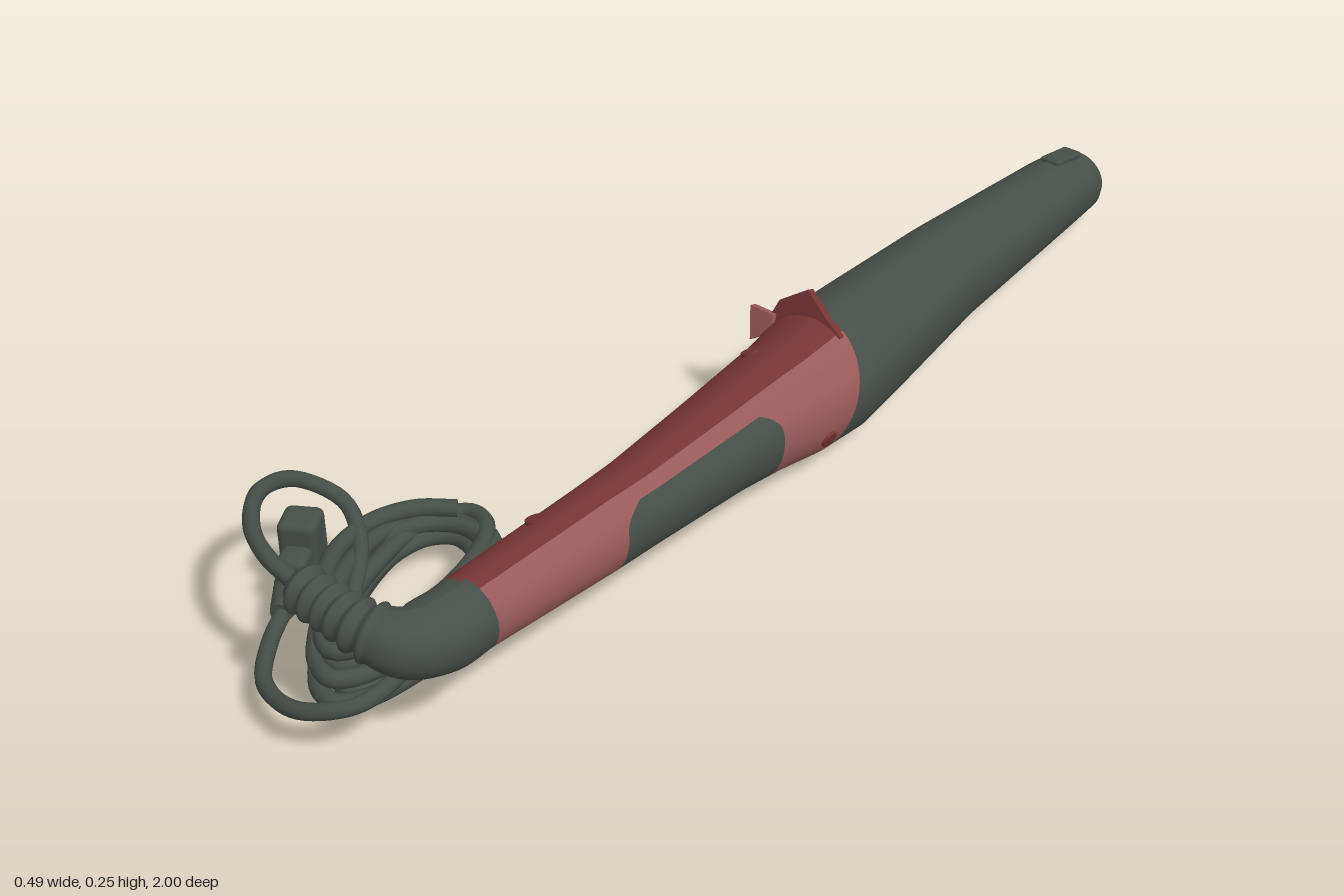
import * as THREE from 'three';
import { mergeVertices } from 'three/addons/utils/BufferGeometryUtils.js';
import { RoundedBoxGeometry } from 'three/addons/geometries/RoundedBoxGeometry.js';

const V = (x, y, z) => new THREE.Vector3(x, y, z);
const RAD = Math.PI / 180;

// body cross-sections: z, centre x, centre y, half width, half height
const SECTIONS = [
  [-1, -0.024, 0.073, 0.055, 0.05], [-0.985, -0.024, 0.073, 0.064, 0.06],
  [-0.9, -0.017, 0.077, 0.07, 0.068], [-0.5, 0.029, 0.096, 0.087, 0.091],
  [-0.25, 0.068, 0.106, 0.105, 0.102], [-0.1, 0.092, 0.113, 0.114, 0.108],
  [0, 0.105, 0.113, 0.1, 0.102], [0.1, 0.115, 0.122, 0.09, 0.09],
  [0.2, 0.127, 0.13, 0.082, 0.08], [0.4, 0.153, 0.143, 0.068, 0.07],
  [0.5, 0.163, 0.149, 0.063, 0.069], [0.78, 0.187, 0.168, 0.056, 0.057],
];

function bodyPoint(deg, z, lift = 0) {
  let i = 0;
  while (i < SECTIONS.length - 2 && z > SECTIONS[i + 1][0]) i++;
  const a = SECTIONS[i], b = SECTIONS[i + 1];
  const t = (z - a[0]) / (b[0] - a[0]);
  const [, cx, cy, rx, ry] = a.map((v, k) => v + (b[k] - v) * t);
  return V(cx + (rx + lift) * Math.cos(deg * RAD), cy + (ry + lift) * Math.sin(deg * RAD), z);
}

// piece of the body skin between two angles and two end curves z(angle)
function patch(a0, a1, zStart, zEnd, lift = 0) {
  const nA = Math.max(4, Math.ceil((a1 - a0) / 6)), nZ = 50, pos = [], idx = [];
  for (let i = 0; i <= nA; i++) {
    const deg = a0 + (a1 - a0) * i / nA, z0 = zStart(deg), z1 = zEnd(deg);
    for (let j = 0; j <= nZ; j++) {
      pos.push(...bodyPoint(deg, z0 + (z1 - z0) * j / nZ, lift).toArray());
      if (i < nA && j < nZ) {
        const k = i * (nZ + 1) + j, m = k + nZ + 1;
        idx.push(k, m, k + 1, m, m + 1, k + 1);
      }
    }
  }
  let g = new THREE.BufferGeometry();
  g.setAttribute('position', new THREE.Float32BufferAttribute(pos, 3));
  g.setIndex(idx);
  g = mergeVertices(g, 1e-5);
  g.computeVertexNormals();
  return g;
}

// tube along points whose radius follows r(t)
function sweep(points, seg, sides, r) {
  const curve = new THREE.CatmullRomCurve3(points);
  const g = new THREE.TubeGeometry(curve, seg, 1, sides);
  const p = g.attributes.position, n = g.attributes.normal;
  for (let i = 0; i <= seg; i++) {
    const c = curve.getPointAt(i / seg);
    for (let j = 0; j <= sides; j++) {
      const k = i * (sides + 1) + j, q = V(0, 0, 0).fromBufferAttribute(n, k);
      q.multiplyScalar(r(i / seg)).add(c);
      p.setXYZ(k, q.x, q.y, q.z);
    }
  }
  g.computeVertexNormals();
  return g;
}

export function createModel() {
  const group = new THREE.Group();
  const mat = (name, color, side = THREE.FrontSide) => {
    const m = new THREE.MeshStandardMaterial({ color, side });
    m.name = name;
    return m;
  };
  const dark = mat('charcoal green', 0x464e48, THREE.DoubleSide);
  const red = mat('deep red', 0x763434, THREE.DoubleSide);
  const rose = mat('dusty rose', 0x985a5a, THREE.DoubleSide);
  const add = (name, geo, m, parent = group) => {
    const mesh = new THREE.Mesh(geo, m);
    mesh.name = name;
    parent.add(mesh);
    return mesh;
  };

  // barrel and handle shells
  const collar = d => -0.05 - 0.045 * Math.sin(d * RAD);
  const corner = d => 0.04 * Math.max(0, (d - 15) / 30) ** 2;
  const gripBack = d => 0.125 + corner(d) - 0.01 * Math.sin(d * RAD);
  const gripFront = d => 0.49 - corner(d) - 0.01 * Math.sin(d * RAD);
  const end = () => 0.775;
  add('barrel', patch(0, 360, () => -1, collar), dark);
  add('topPanel', patch(65, 215, collar, end), red);
  add('sideStrip', patch(45, 65, collar, end), rose);
  add('sideCollar', patch(-50, 45, collar, gripBack), rose);
  add('lowerCollar', patch(-145, -50, collar, gripBack), red);
  add('grip', patch(-145, 45, gripBack, gripFront), dark);
  add('sideFront', patch(-145, 45, gripFront, end), rose);
  add('rocker', patch(18, 36, () => 0.2, () => 0.42, 0.005), dark);

  // recessed barrel tip
  const tip = new THREE.LatheGeometry([[0, 0.03], [0.03, 0.03], [0.035, 0], [0.055, 0]]
    .map(p => new THREE.Vector2(...p)), 32);
  tip.rotateX(Math.PI / 2).scale(1, 0.91, 1).translate(-0.024, 0.073, -1);
  add('tip', tip, dark);
  const ridge = add('tipRidge', new RoundedBoxGeometry(0.04, 0.012, 0.08, 2, 0.005), dark);
  ridge.position.set(-0.02, 0.142, -0.93);
  ridge.rotation.x = -0.1;

  // screws set in the shell
  for (const [deg, z, m] of [[115, 0.05, red], [110, 0.6, red], [-20, 0.01, red]]) {
    const screw = add('screw', new THREE.CylinderGeometry(0.015, 0.015, 0.008, 16), m);
    screw.position.copy(bodyPoint(deg, z));
    screw.quaternion.setFromUnitVectors(V(0, 1, 0), V(Math.cos(deg * RAD), Math.sin(deg * RAD), 0));
  }

  // raised guard between barrel and handle
  const plate = (name, pts, m, z) => {
    const shape = new THREE.Shape(pts.map(p => new THREE.Vector2(...p)));
    const g = new THREE.ExtrudeGeometry(shape, { depth: 0.014, bevelEnabled: false });
    g.translate(0, -0.2, 0).rotateX(-0.3).translate(0, 0.2, z);
    add(name, g, m);
  };
  plate('guard', [[0.0, 0.17], [0.15, 0.17], [0.15, 0.205], [0.12, 0.222], [0.07, 0.257], [0.02, 0.222]], red, -0.085);
  plate('guardWing', [[-0.028, 0.2], [-0.015, 0.145], [0.02, 0.17], [0.02, 0.2]], rose, -0.075);

  // end cap bending into a ribbed strain relief
  add('strainRelief', sweep([V(0.187, 0.168, 0.765), V(0.19, 0.169, 0.82), V(0.175, 0.175, 0.872),
    V(0.125, 0.188, 0.898), V(0.06, 0.198, 0.905), V(0, 0.206, 0.908)], 110, 24, t => {
    if (t > 0.99) return 0.002;
    const base = 0.057 - 0.024 * THREE.MathUtils.smoothstep(t, 0.15, 0.75);
    return base + (t > 0.5 ? 0.005 * Math.sin((t - 0.5) * 2 * Math.PI * 12) : 0);
  }), dark);

  // coiled bundle of cable
  const cable = (name, pts, r = 0.0125) => add(name,
    new THREE.TubeGeometry(new THREE.CatmullRomCurve3(pts), pts.length * 6, r, 10), dark);
  const coil = [], turns = 8, steps = 14;
  for (let i = 0; i <= turns * steps; i++) {
    const k = i / steps, t = k * 2 * Math.PI, c = Math.cos(t);
    const u = (0.2 + 0.025 * Math.sin(2.3 * k)) * c;
    const w = (0.088 + 0.02 * Math.sin(1.7 * k + 1)) * Math.sin(t) * (1 + 0.25 * c);
    const y = 0.016 + (0.085 - 0.03 * c) * k / turns + 0.012 * (1 + Math.sin(t * 0.5 + k));
    coil.push(V(-0.01 - 0.39 * u + 0.92 * w, y, 0.715 - 0.92 * u - 0.39 * w));
  }
  cable('cableCoil', coil, 0.014);

  // free runs of cable
  cable('cableFromHandle', [V(0.01, 0.205, 0.908), V(-0.06, 0.217, 0.905), V(-0.14, 0.214, 0.87),
    V(-0.21, 0.205, 0.8), V(-0.23, 0.175, 0.72), V(-0.19, 0.13, 0.67), V(-0.12, 0.11, 0.7),
    V(-0.05, 0.1, 0.77), V(0.02, 0.09, 0.86)]);
  cable('cableToPlug', [V(-0.135, 0.05, 0.835), V(-0.09, 0.05, 0.9), V(-0.02, 0.055, 0.965),
    V(0.08, 0.075, 0.985), V(0.15, 0.095, 0.94), V(0.15, 0.1, 0.87), V(0.09, 0.08, 0.8)]);

  // plug with socket rims, neck and ribbed sleeve
  const plug = new THREE.Group();
  plug.name = 'plug';
  plug.position.set(-0.197, 0.074, 0.745);
  plug.rotation.y = 0.59;
  group.add(plug);
  add('plugBody', new RoundedBoxGeometry(0.06, 0.13, 0.06, 3, 0.012), dark, plug);
  add('plugNeck', new RoundedBoxGeometry(0.046, 0.08, 0.05, 3, 0.012), dark, plug).position.set(0, -0.01, 0.045);
  for (const y of [-0.03, 0.03]) {
    add('plugSocket', new THREE.TorusGeometry(0.012, 0.004, 8, 20), dark, plug).position.set(0, y, -0.03);
  }
  for (let i = 0; i < 4; i++) {
    const r = 0.029 - i * 0.003;
    const rib = new THREE.CylinderGeometry(r - 0.004, r, 0.017, 16).rotateX(Math.PI / 2);
    add('plugRib', rib, dark, plug).position.set(0, -0.02, 0.072 + i * 0.015);
  }
  return group;
}
